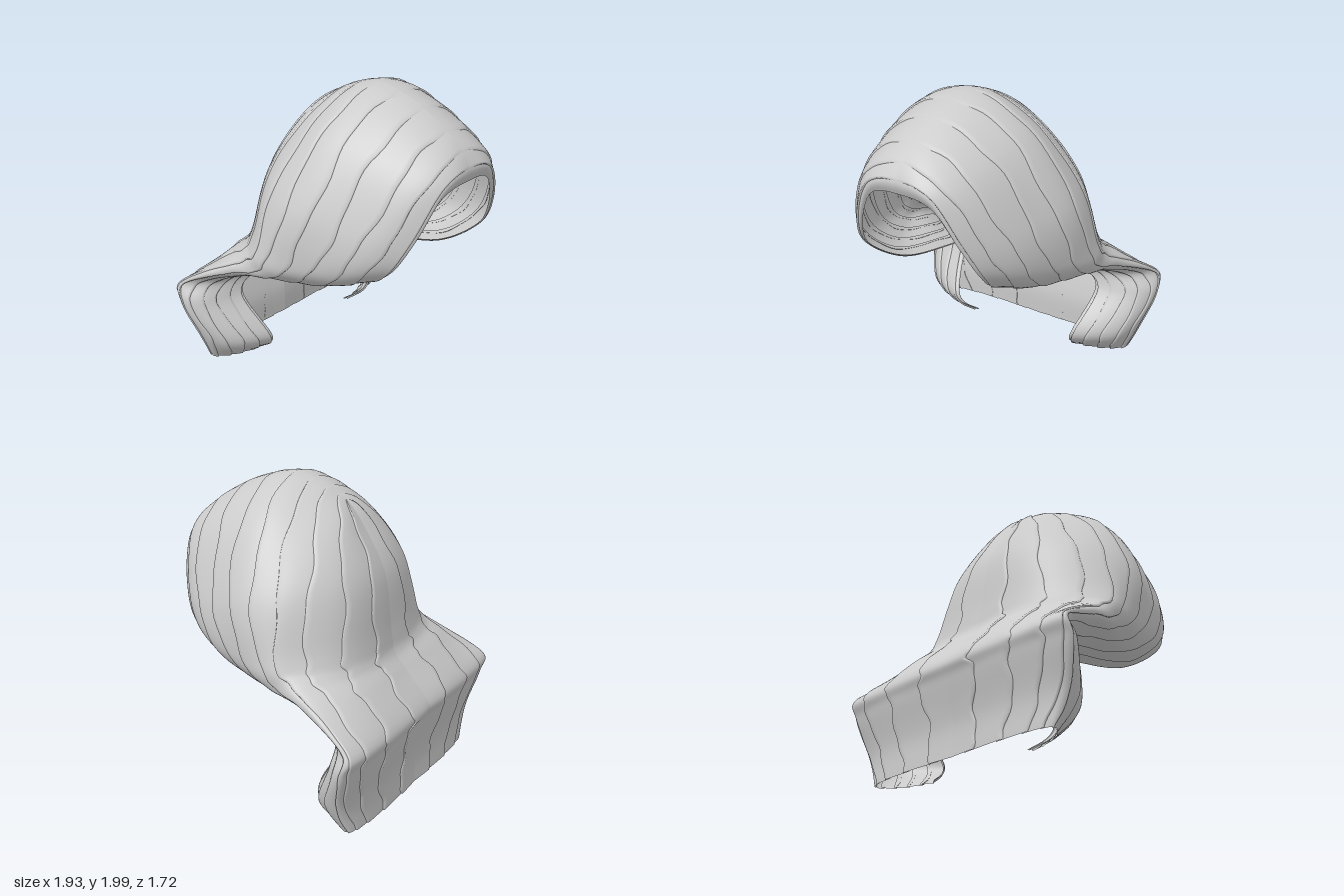
import * as THREE from 'three';

// Guide strands of the left half, front to back; each runs from the parting,
// down the side, under the jaw line, out over the nape flip and to the tip.
const rim = [[0, 1.6, .855], [.24, 1.53, .84], [.4, 1.25, .76], [.47, 1.0, .62], [.38, .82, .35],
  [.36, .73, -.1], [.43, .64, -.5], [.59, .48, -.58], [.51, .17, -.39], [.43, .01, -.53]];
const brow = [[0, 1.75, .74], [.33, 1.6, .72], [.54, 1.25, .6], [.61, .98, .44], [.55, .8, .2],
  [.51, .73, -.2], [.6, .64, -.55], [.74, .48, -.6], [.66, .18, -.44], [.57, .01, -.56]];
const temple = [[0, 1.91, .47], [.4, 1.72, .42], [.64, 1.3, .34], [.71, .97, .19], [.68, .81, -.02],
  [.66, .74, -.32], [.78, .63, -.62], [.88, .48, -.65], [.8, .19, -.53], [.7, .01, -.62]];
const side = [[0, 1.99, .18], [.42, 1.8, .13], [.71, 1.36, .06], [.78, .97, -.07], [.78, .84, -.2],
  [.81, .77, -.42], [.91, .63, -.74], [.95, .48, -.74], [.87, .22, -.67], [.77, .01, -.7]];
const behindEar = [[0, 1.95, -.03], [.34, 1.78, -.1], [.62, 1.42, -.2], [.75, 1.02, -.24], [.76, .9, -.34],
  [.8, .8, -.52], [.89, .61, -.8], [.88, .48, -.79], [.79, .22, -.73], [.68, .01, -.74]];
const back = [[0, 1.88, -.17], [.2, 1.74, -.29], [.37, 1.42, -.43], [.47, 1.03, -.49], [.5, .9, -.54],
  [.52, .8, -.65], [.53, .6, -.83], [.53, .48, -.82], [.48, .22, -.76], [.42, .01, -.76]];
const centre = [[0, 1.85, -.22], [0, 1.72, -.33], [0, 1.42, -.5], [0, 1.03, -.56], [0, .9, -.59],
  [0, .8, -.67], [0, .6, -.84], [0, .48, -.82], [0, .22, -.76], [0, .01, -.76]];
// Inner lip: the rim pulled in, fading towards the tip
const lip = rim.map(([x, y, z], j) => [x * .95, y - .09 * Math.max(0, 1 - j / 4), z - .015]);

const half = [lip, rim, brow, temple, side, behindEar, back];
const mirror = (strand) => strand.map(([x, y, z]) => [-x, y, z]);
const guides = [...half, centre, ...half.map(mirror).reverse()];
const LAST = rim.length - 1;

const catmull = (a, b, c, d, f) => a.map((_, k) => .5 * (2 * b[k] + (c[k] - a[k]) * f
  + (2 * a[k] - 5 * b[k] + 4 * c[k] - d[k]) * f * f
  + (3 * b[k] - a[k] - 3 * c[k] + d[k]) * f * f * f));

// Point along one strand; the root continues into its mirror across the parting
function along(strand, v) {
  const j = Math.min(LAST - 1, Math.floor(v)), f = v - j;
  const before = j > 0 ? strand[j - 1] : [-strand[1][0], strand[1][1], strand[1][2]];
  return catmull(before, strand[j], strand[j + 1], strand[Math.min(LAST, j + 2)], f);
}

// Point on the whole hair surface: t across the strands, v along them
function surface(t, v) {
  const n = guides.length - 1;
  const i = Math.max(0, Math.min(n - 1, Math.floor(t)));
  const g = (k) => along(guides[Math.max(0, Math.min(n, k))], v);
  return new THREE.Vector3(...catmull(g(i - 1), g(i), g(i + 1), g(i + 2), t - i));
}

function normalAt(t, v) {
  const e = .02;
  const dt = surface(t + e, v).sub(surface(Math.max(0, t - e), v));
  const dv = surface(t, Math.min(LAST, v + e)).sub(surface(t, Math.max(0, v - e)));
  return dv.cross(dt).normalize();
}

// One lock of hair: a wavering leading edge that rises in a small step over
// the lock before it, then slopes back down to the surface
function lock(t0, t1, sign, raise, waver) {
  const steps = [0, .03, .15, .3, .45, .6, .75, .88, 1], down = 72, pos = [], index = [];
  steps.forEach((f, i) => {
    for (let j = 0; j <= down; j++) {
      const v = LAST * j / down, grow = Math.min(1, v * 2);
      const wave = Math.sin(v * 4 + t0 * 5) + .5 * Math.sin(v * 9 + t0);
      const t = t0 + (t1 - t0) * f + waver * grow * (1 - f) * wave;
      const lift = i === 0 ? 0 : raise * grow * (1 - f);
      const p = surface(t, v).addScaledVector(normalAt(t, v), lift);
      pos.push(sign * p.x, Math.max(0, p.y), p.z);
      if (i < steps.length - 1 && j < down) {
        const a = i * (down + 1) + j, b = a + down + 1;
        if (sign > 0) index.push(a, a + 1, b, b, a + 1, b + 1);
        else index.push(a, b, a + 1, b, b + 1, a + 1);
      }
    }
  });
  const geo = new THREE.BufferGeometry();
  geo.setAttribute('position', new THREE.Float32BufferAttribute(pos, 3));
  geo.setIndex(index);
  geo.computeVertexNormals();
  return geo;
}

export function createModel() {
  const group = new THREE.Group();
  group.name = 'hair';
  const material = new THREE.MeshStandardMaterial({ color: 0xcccccc, side: THREE.DoubleSide });
  const add = (name, geo) => {
    const mesh = new THREE.Mesh(geo, material);
    mesh.name = name;
    group.add(mesh);
  };
  for (const [sign, word] of [[1, 'left'], [-1, 'right']]) {
    // Turned-in front edge
    add(`${word}Lip`, lock(0, 1.02, sign, 0, 0));
    // Overlapping locks from the front edge to the middle of the back
    for (let k = 0; k < 10; k++) {
      const t0 = 1 + k * .62;
      add(`${word}Lock${k + 1}`, lock(t0, Math.min(7, t0 + .78), sign, .012, k ? .04 : 0));
    }
  }
  return group;
}
